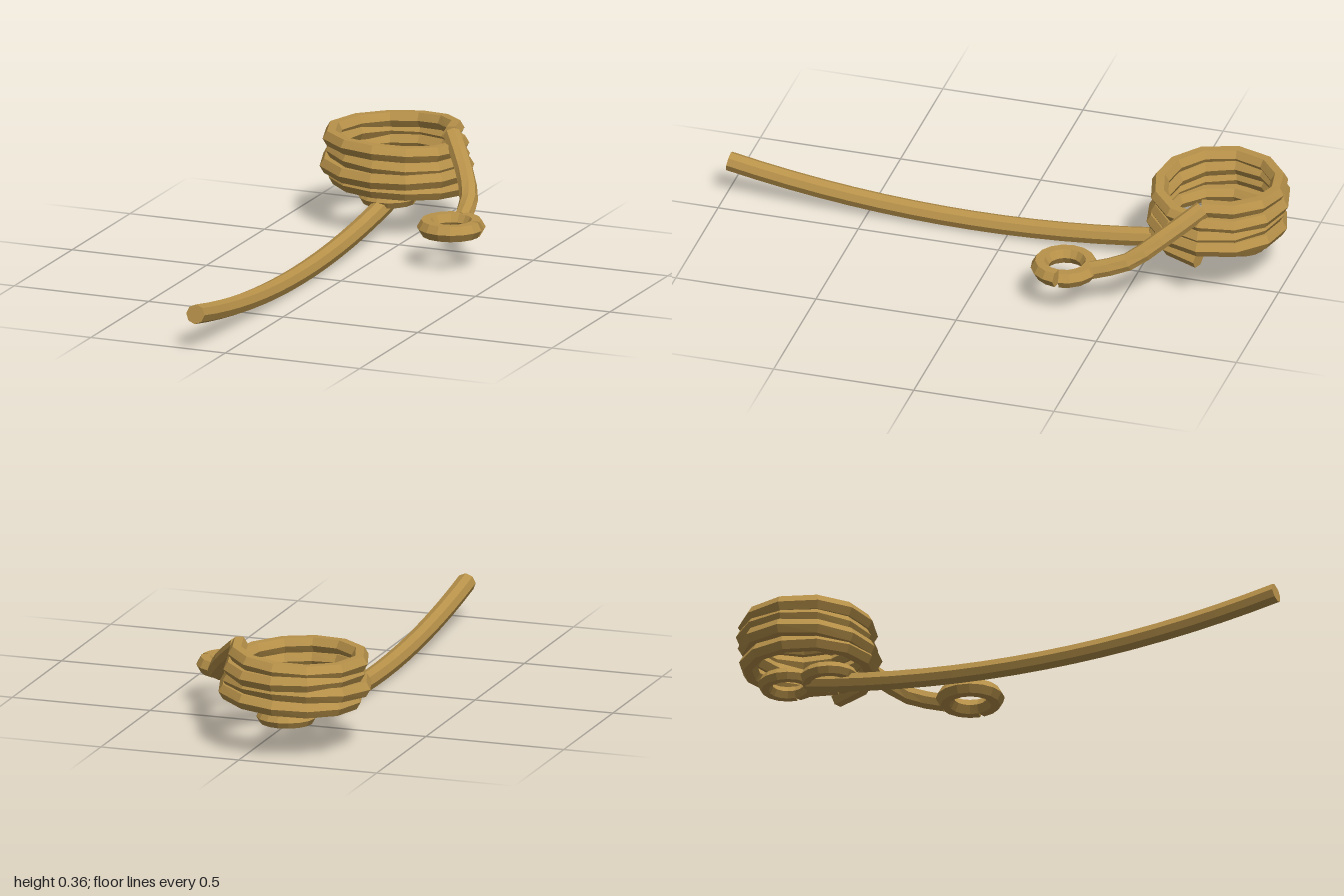
import * as THREE from 'three';

// Sweeps a regular polygon along points, keeping it upright, with capped ends
function sweep(points, radius, sides) {
  const pos = [], index = [], up = new THREE.Vector3(0, 1, 0);
  const n = points.length;
  points.forEach((p, i) => {
    const t = points[Math.min(i + 1, n - 1)].clone().sub(points[Math.max(i - 1, 0)]).normalize();
    const side = t.clone().cross(up).normalize();
    const top = side.clone().cross(t);
    for (let j = 0; j < sides; j++) {
      const a = (j / sides) * Math.PI * 2;
      const v = p.clone().addScaledVector(side, radius * Math.cos(a)).addScaledVector(top, radius * Math.sin(a));
      pos.push(v.x, v.y, v.z);
    }
  });
  for (let i = 0; i < n - 1; i++) {
    for (let j = 0; j < sides; j++) {
      const a = i * sides + j, b = i * sides + (j + 1) % sides;
      index.push(a, a + sides, b, b, a + sides, b + sides);
    }
  }
  const last = (n - 1) * sides;
  for (let j = 1; j < sides - 1; j++) {
    index.push(0, j, j + 1, last, last + j + 1, last + j);
  }
  const g = new THREE.BufferGeometry();
  g.setAttribute('position', new THREE.Float32BufferAttribute(pos, 3));
  g.setIndex(index);
  g.computeVertexNormals();
  return g;
}

export function createModel() {
  const group = new THREE.Group();
  const rope = new THREE.MeshStandardMaterial({ color: 0xb8924a, flatShading: true });
  rope.name = 'tan rope';
  const V = (x, y, z) => new THREE.Vector3(x, y, z);
  const add = (name, points, radius, sides) => {
    const mesh = new THREE.Mesh(sweep(points, radius, sides), rope);
    mesh.name = name;
    group.add(mesh);
  };
  const cx = -0.113, cz = -0.75;

  // Long sagging rope
  const sag = [];
  for (let i = 0; i <= 16; i++) {
    const z = 0.995 - (i / 16) * 1.745;
    sag.push(V(cx, 0.036 + 0.112 * (z - 0.1) ** 2, z));
  }
  add('longRope', sag, 0.034, 8);

  // Uneven coil of four turns; radii given at every quarter turn
  const radii = [0.235, 0.205, 0.21, 0.215, 0.24, 0.215, 0.245, 0.205, 0.225,
    0.2, 0.225, 0.22, 0.215, 0.205, 0.235, 0.205, 0.2];
  const radiusCurve = new THREE.CatmullRomCurve3(radii.map((r, i) => V(i, r, 0)));
  const coil = [], steps = 48;
  for (let i = 0; i <= steps; i++) {
    const u = i / steps, a = u * Math.PI * 8;
    const r = radiusCurve.getPoint(u).y;
    const y = 0.157 + 0.178 * u + 0.006 * Math.sin(a * 1.3);
    coil.push(V(cx + r * Math.cos(a), y, cz + r * Math.sin(a)));
  }
  add('coil', coil, 0.03, 6);

  // Loose end hanging from the coil
  const loose = new THREE.CatmullRomCurve3([
    V(0.088, 0.337, -0.755), V(0.185, 0.25, -0.635), V(0.245, 0.18, -0.535), V(0.272, 0.141, -0.41),
  ]);
  add('looseEnd', loose.getPoints(6), 0.032, 8);

  // Flat eyelets, each with a narrow slit on the left
  const ring = (name, x, y, z, R, r) => {
    const points = [];
    for (let i = 0; i <= 16; i++) {
      const a = 0.04 + (i / 16) * (Math.PI * 2 - 0.08);
      points.push(V(x + R * Math.cos(a), y, z + R * Math.sin(a)));
    }
    add(name, points, r, 6);
  };
  ring('frontKnotRing', cx, 0.12, -0.675, 0.079, 0.025);
  ring('backKnotRing', cx, 0.126, -0.83, 0.079, 0.025);
  ring('endLoop', 0.272, 0.142, -0.32, 0.087, 0.031);

  return group;
}
